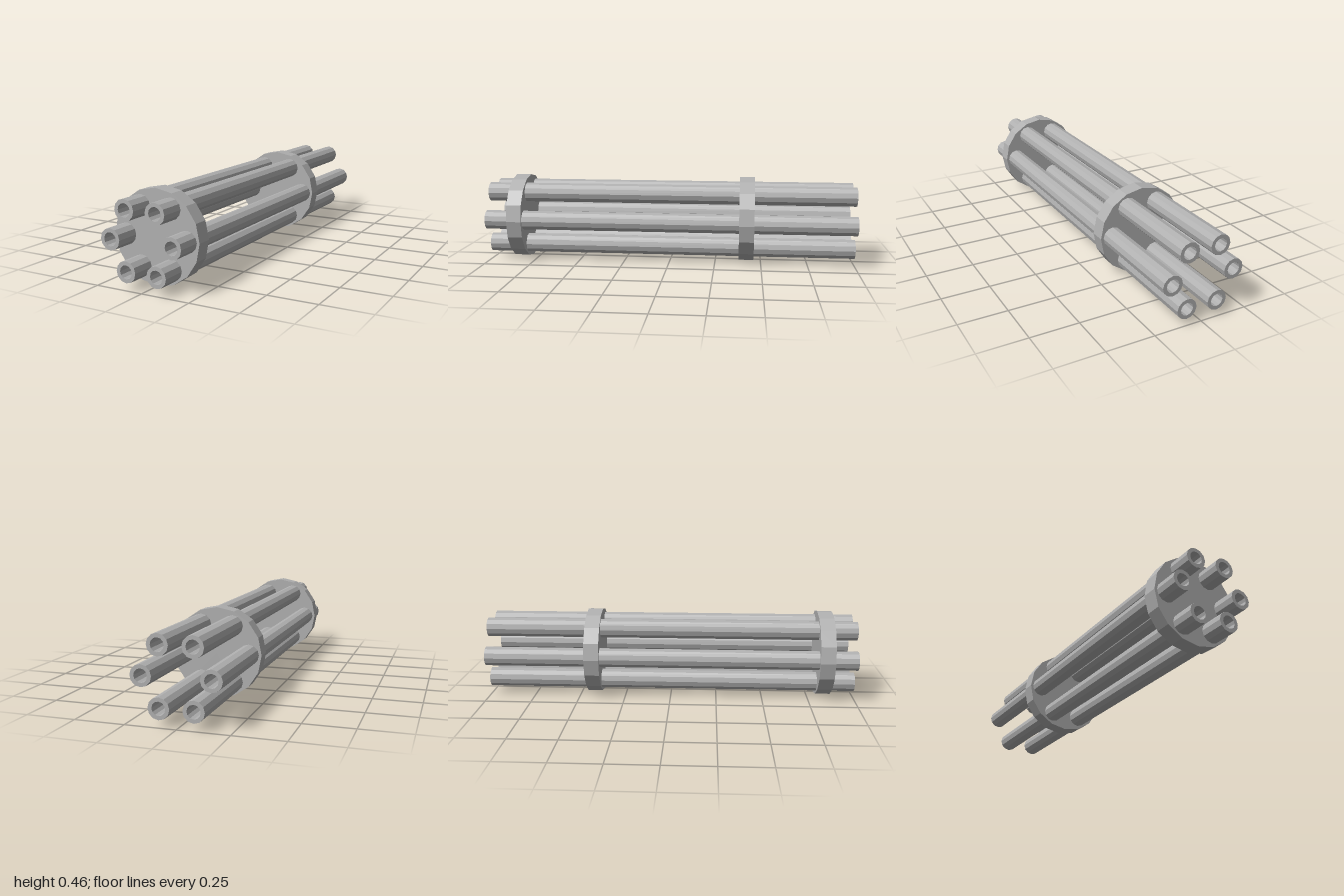
import * as THREE from 'three';

export function createModel() {
  const model = new THREE.Group();
  const steel = new THREE.MeshStandardMaterial({ color: 0xb0b0b0, flatShading: true });
  steel.name = 'grey steel';

  const axisY = 0.231; // height of the cluster's axis

  // Hollow barrels around the axis
  const outer = 0.052, inner = 0.033, ring = 0.165;
  const wall = [[inner, -1], [outer, -1], [outer, 1], [inner, 1], [inner, -1]]
    .map(([r, y]) => new THREE.Vector2(r, y));
  const barrelGeometry = new THREE.LatheGeometry(wall, 12).rotateX(Math.PI / 2);
  for (let i = 0; i < 6; i++) {
    const a = (i * Math.PI) / 3;
    const barrel = new THREE.Mesh(barrelGeometry, steel);
    barrel.name = `barrel${i + 1}`;
    barrel.position.set(ring * Math.cos(a), axisY + ring * Math.sin(a), 0);
    model.add(barrel);
  }

  // Solid clamp discs that hold the barrels and close their bores
  const discGeometry = new THREE.CylinderGeometry(axisY, axisY, 0.08, 16).rotateX(Math.PI / 2);
  for (const [name, z] of [['frontDisc', 0.835], ['rearDisc', -0.42]]) {
    const disc = new THREE.Mesh(discGeometry, steel);
    disc.name = name;
    disc.position.set(0, axisY, z);
    model.add(disc);
  }

  return model;
}
